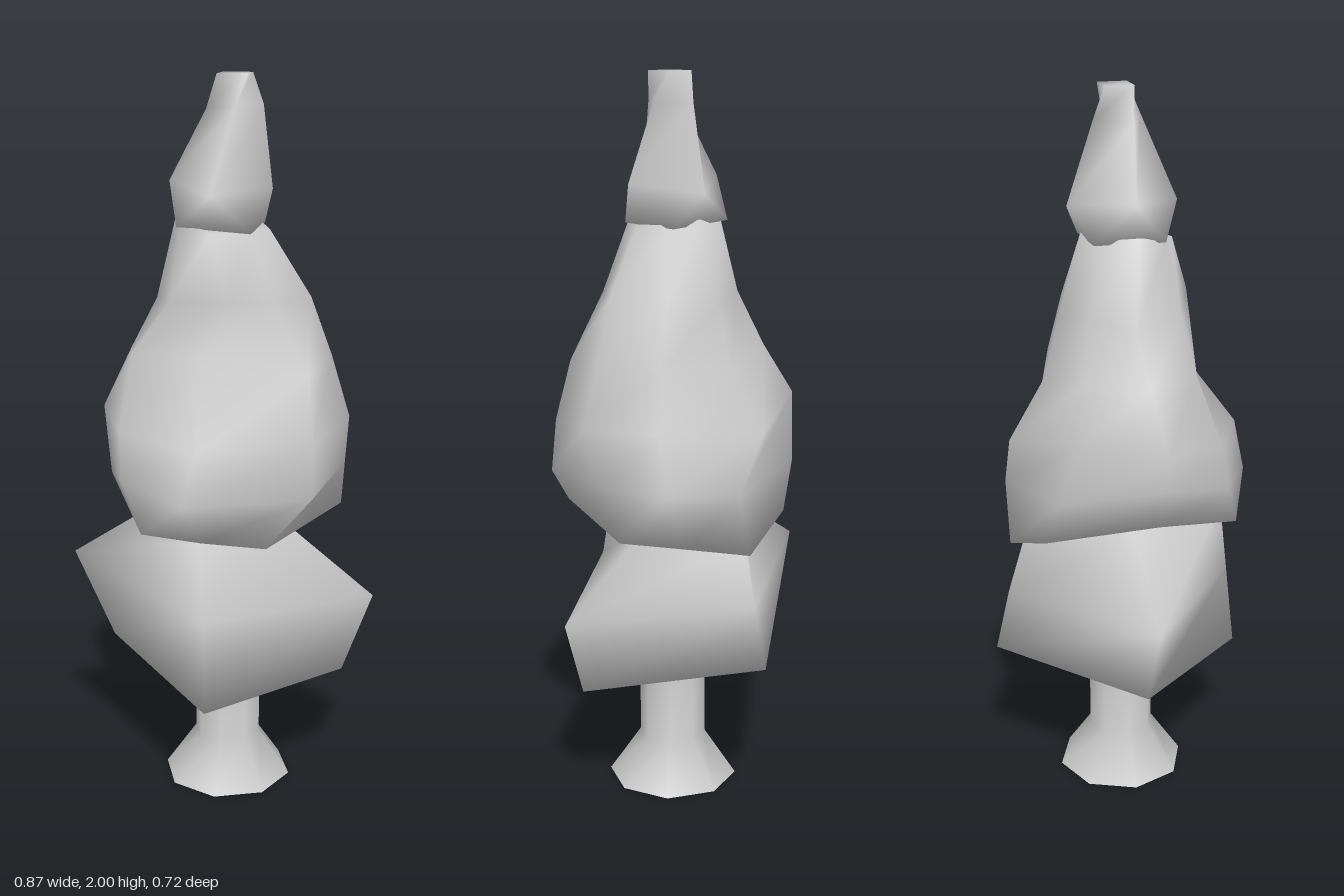
import * as THREE from 'three';

const material = new THREE.MeshStandardMaterial({ color: 0xcccccc, side: THREE.DoubleSide });

// Skin a stack of rings (bottom to top, each running front -> +x -> back -> -x), shade smoothly, optionally cap the ends.
function loft(name, rings, capped = true) {
  const n = rings[0].length;
  const index = [];
  const last = (rings.length - 1) * n;
  for (let i = 0; i < rings.length - 1; i++) {
    for (let j = 0; j < n; j++) {
      const a = i * n + j, b = i * n + (j + 1) % n;
      index.push(a, b, b + n, a, b + n, a + n);
    }
  }
  for (let j = 1; capped && j < n - 1; j++) {
    index.push(0, j + 1, j, last, last + j, last + j + 1);
  }
  const geometry = new THREE.BufferGeometry();
  geometry.setAttribute('position', new THREE.Float32BufferAttribute(rings.flat(2), 3));
  geometry.setIndex(index);
  geometry.computeVertexNormals();
  const mesh = new THREE.Mesh(geometry, material);
  mesh.name = name;
  return mesh;
}

// Regular octagon ring for the trunk
const octagon = (r, y) => Array.from({ length: 8 }, (_, i) => {
  const t = i * Math.PI / 4;
  return [0.02 + r * Math.sin(t), y, 0.01 + r * Math.cos(t)];
});

export function createModel() {
  const tree = new THREE.Group();
  tree.name = 'tree';

  // Hollow trunk with a flared foot
  tree.add(loft('trunk', [octagon(0.182, 0), octagon(0.093, 0.13), octagon(0.093, 0.45)], false));

  // Lower foliage: a diamond block bulging to the sides
  tree.add(loft('lowerFoliage', [
    [[0.03, 0.345, 0.36], [0.35, 0.345, 0], [0.005, 0.43, -0.36], [-0.32, 0.39, 0]],
    [[0.02, 0.59, 0.33], [0.43, 0.565, -0.03], [0.01, 0.6, -0.32], [-0.435, 0.64, 0]],
    [[0, 0.81, 0.3], [0.13, 0.8, -0.03], [0, 0.78, -0.27], [-0.15, 0.83, 0]],
  ]));

  // Middle foliage: a lumpy bell with a dipping hem and a pinch at the front
  tree.add(loft('middleFoliage', [
    [[0.01, 0.81, 0.3], [0.18, 0.8, 0.28], [0.32, 0.8, -0.13], [0.17, 0.773, -0.22],
      [0.02, 0.745, -0.31], [-0.165, 0.82, -0.245], [-0.31, 0.9, 0.03], [-0.155, 0.82, 0.295]],
    [[-0.03, 0.925, 0.355], [0.288, 0.92, 0.21], [0.335, 0.94, -0.08], [0.24, 0.93, -0.225],
      [0.06, 0.92, -0.312], [-0.22, 0.95, -0.22], [-0.316, 1.0, 0.04], [-0.22, 0.95, 0.25]],
    [[0, 1.06, 0.335], [0.285, 1.07, 0.19], [0.352, 1.09, -0.02], [0.225, 1.08, -0.18],
      [-0.02, 1.07, -0.312], [-0.26, 1.13, -0.175], [-0.322, 1.1, 0.05], [-0.23, 1.08, 0.225]],
    [[-0.02, 1.28, 0.17], [0.265, 1.24, 0.145], [0.3, 1.26, -0.02], [0.2, 1.25, -0.155],
      [0, 1.23, -0.21], [-0.18, 1.27, -0.14], [-0.25, 1.26, 0.02], [-0.21, 1.28, 0.155]],
    [[0.06, 1.44, 0.205], [0.17, 1.42, 0.12], [0.245, 1.42, 0], [0.15, 1.42, -0.125],
      [0.01, 1.4, -0.165], [-0.11, 1.42, -0.11], [-0.18, 1.4, 0], [-0.11, 1.42, 0.14]],
    [[0, 1.6, 0.145], [0.1, 1.6, 0.1], [0.135, 1.6, 0.02], [0.09, 1.61, -0.07],
      [0.02, 1.62, -0.1], [-0.08, 1.62, -0.07], [-0.12, 1.63, 0.02], [-0.09, 1.61, 0.1]],
  ]));

  // Treetop: a twisted four-sided spire with a small square end
  tree.add(loft('treetop', [
    [[0.1, 1.6, 0.11], [0.1, 1.6, -0.09], [-0.09, 1.61, -0.09], [-0.1, 1.61, 0.1]],
    [[0, 1.7, 0.158], [0.145, 1.71, 0.04], [0.03, 1.69, -0.135], [-0.14, 1.72, 0.01]],
    [[0.05, 1.92, 0.07], [0.108, 1.92, -0.02], [0.01, 1.92, -0.065], [-0.035, 1.91, 0.03]],
    [[0.075, 2, 0.04], [0.075, 2, -0.04], [-0.005, 2, -0.04], [-0.005, 2, 0.04]],
  ]));

  return tree;
}
